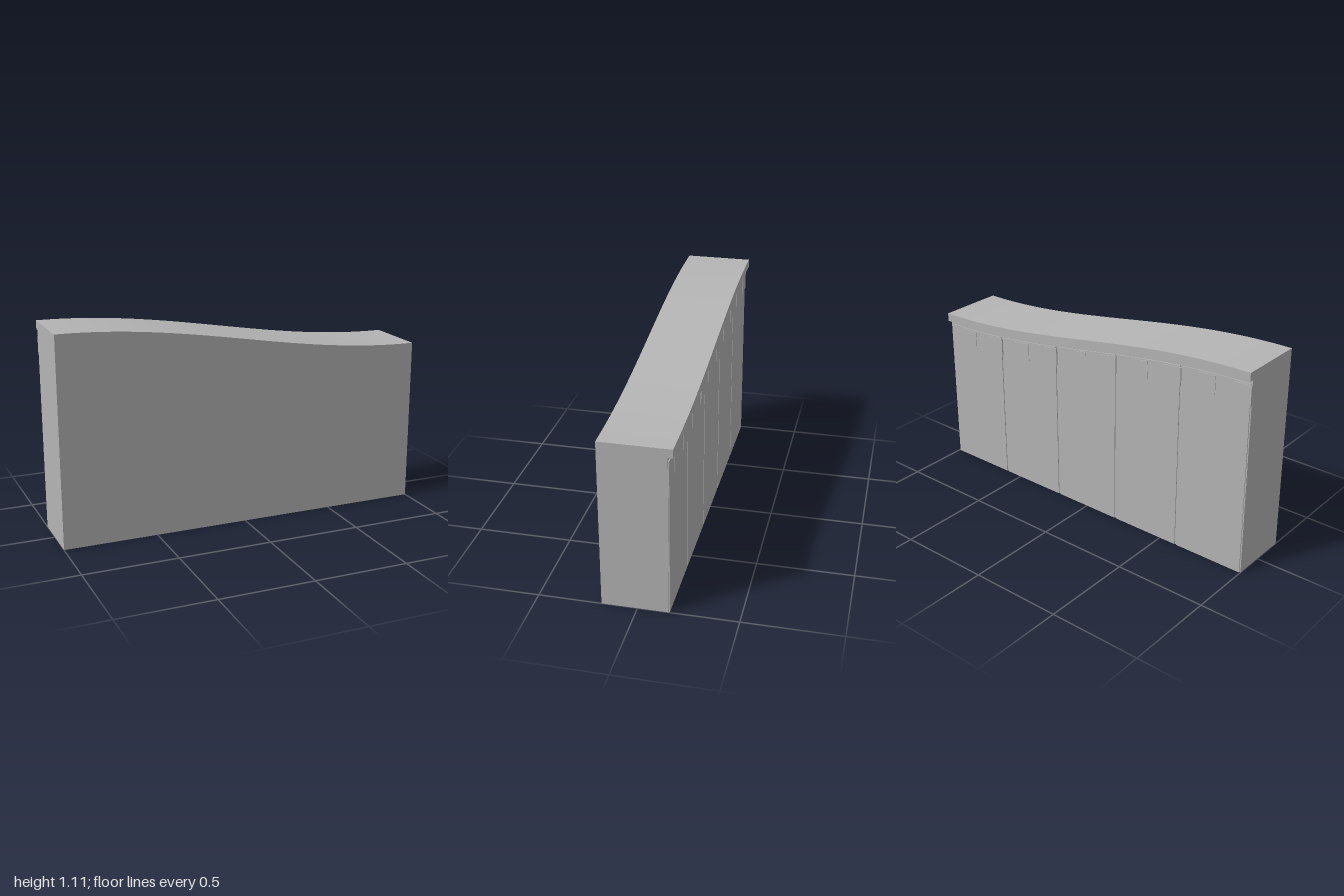
import * as THREE from 'three';

// Height of the sweeping top edge at x
const topAt = (x) => 1 - 0.111 * Math.sin((Math.PI * x) / 2);

// Block whose top (and, unless grounded, bottom) runs a fixed drop below the top curve
function sweptBlock(x0, x1, dropTop, dropBottom, zBack, zFront) {
  const segments = Math.max(2, Math.ceil((x1 - x0) * 20));
  const geometry = new THREE.BoxGeometry(x1 - x0, 1, zFront - zBack, segments, 1, 1);
  geometry.translate((x0 + x1) / 2, 0, (zBack + zFront) / 2);
  const p = geometry.attributes.position;
  for (let i = 0; i < p.count; i++) {
    const top = topAt(p.getX(i));
    const isTop = p.getY(i) > 0;
    p.setY(i, isTop ? top - dropTop : dropBottom === null ? 0 : top - dropBottom);
  }
  geometry.computeVertexNormals();
  return geometry;
}

export function createModel() {
  const model = new THREE.Group();
  model.name = 'curvedWall';
  const stone = new THREE.MeshStandardMaterial({ color: 0xb4b4b4 });
  stone.name = 'grey stone';

  const add = (name, geometry) => {
    const mesh = new THREE.Mesh(geometry, stone);
    mesh.name = name;
    model.add(mesh);
  };

  const coreBack = -0.155;
  const capDrop = 0.045;

  // Solid wall and the cap that overhangs its back
  add('wallCore', sweptBlock(-1, 1, capDrop, null, coreBack, 0.18));
  add('cap', sweptBlock(-1, 1, 0, capDrop, -0.18, 0.18));

  // Five back panels, separated by narrow grooves and a shadow gap under the cap
  const halfGroove = 0.006;
  for (let i = 0; i < 5; i++) {
    const x = -1 + i * 0.4;
    add('backPanel' + (i + 1),
      sweptBlock(x + halfGroove, x + 0.4 - halfGroove, 0.067, null, -0.16, coreBack));
  }

  // Row of shallow raised tiles below the cap
  for (let i = 0; i < 10; i++) {
    const x = -1 + i * 0.2;
    add('raisedTile' + (i + 1), sweptBlock(x, x + 0.1, 0.075, 0.175, -0.163, coreBack));
  }

  return model;
}
